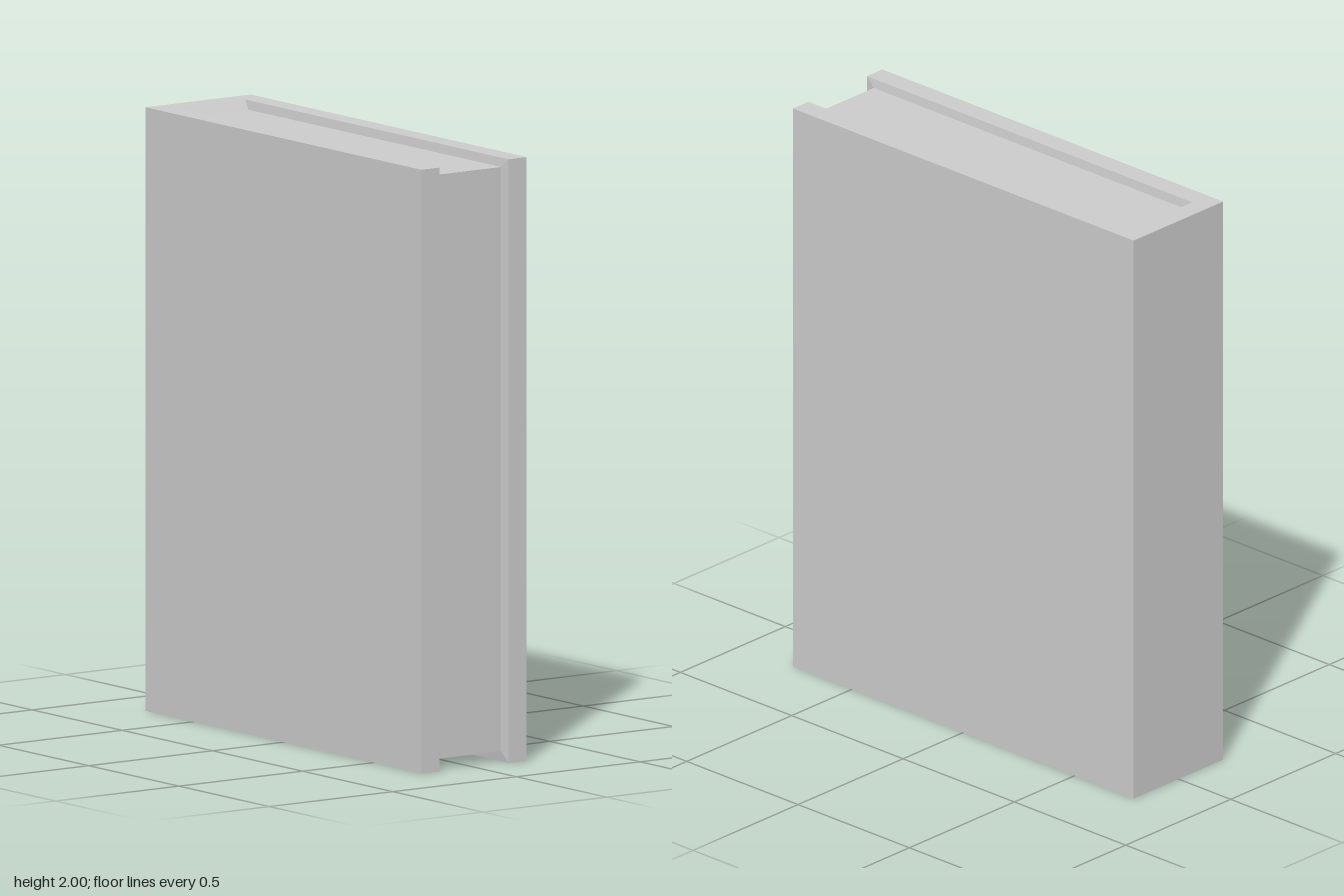
import * as THREE from 'three';

// Half width, height, half depth, and the inner limits of the cover
const W = 0.765, H = 2, D = 0.213;
const SPINE = -0.695, INNER = 0.14;
// Extents of the page block
const P = { x0: -0.67, x1: 0.73, y0: 0.035, y1: 1.97, z: 0.135 };

export function createModel() {
  const book = new THREE.Group();
  book.name = 'book';
  const material = new THREE.MeshStandardMaterial({ color: 0xcccccc, flatShading: true });
  const add = (name, geometry, mat = material) => {
    const mesh = new THREE.Mesh(geometry, mat);
    mesh.name = name;
    book.add(mesh);
    return mesh;
  };

  // Cover: U-shaped section (two boards and a spine) raised to full height
  const section = new THREE.Shape([
    [-W, -D], [W, -D], [W, -INNER], [SPINE, -INNER],
    [SPINE, INNER], [W, INNER], [W, D], [-W, D],
  ].map(([x, y]) => new THREE.Vector2(x, y)));
  add('cover', new THREE.ExtrudeGeometry(section, { depth: H, bevelEnabled: false }).rotateX(-Math.PI / 2));

  // Page block, set back from the cover edges
  add('pages', new THREE.BoxGeometry(P.x1 - P.x0, P.y1 - P.y0, 2 * P.z))
    .position.set((P.x0 + P.x1) / 2, (P.y0 + P.y1) / 2, 0);

  // Sloped rim joining the cover's inner edge to the page block
  const loop = (x0, x1, y0, y1, z) => [
    [x1, y1, z], [x0, y1, z], [x0, y1, -z], [x1, y1, -z],
    [x1, y0, -z], [x0, y0, -z], [x0, y0, z], [x1, y0, z],
  ];
  const outer = loop(SPINE, W, 0, H, INNER);
  const inner = loop(P.x0, P.x1, P.y0, P.y1, P.z);
  const points = [];
  outer.forEach((a, i) => {
    const j = (i + 1) % outer.length;
    points.push(...a, ...inner[j], ...inner[i], ...a, ...outer[j], ...inner[j]);
  });
  const rim = new THREE.BufferGeometry();
  rim.setAttribute('position', new THREE.Float32BufferAttribute(points, 3));
  rim.computeVertexNormals();
  const rimMaterial = material.clone();
  rimMaterial.side = THREE.DoubleSide;
  add('pageRim', rim, rimMaterial);

  return book;
}
